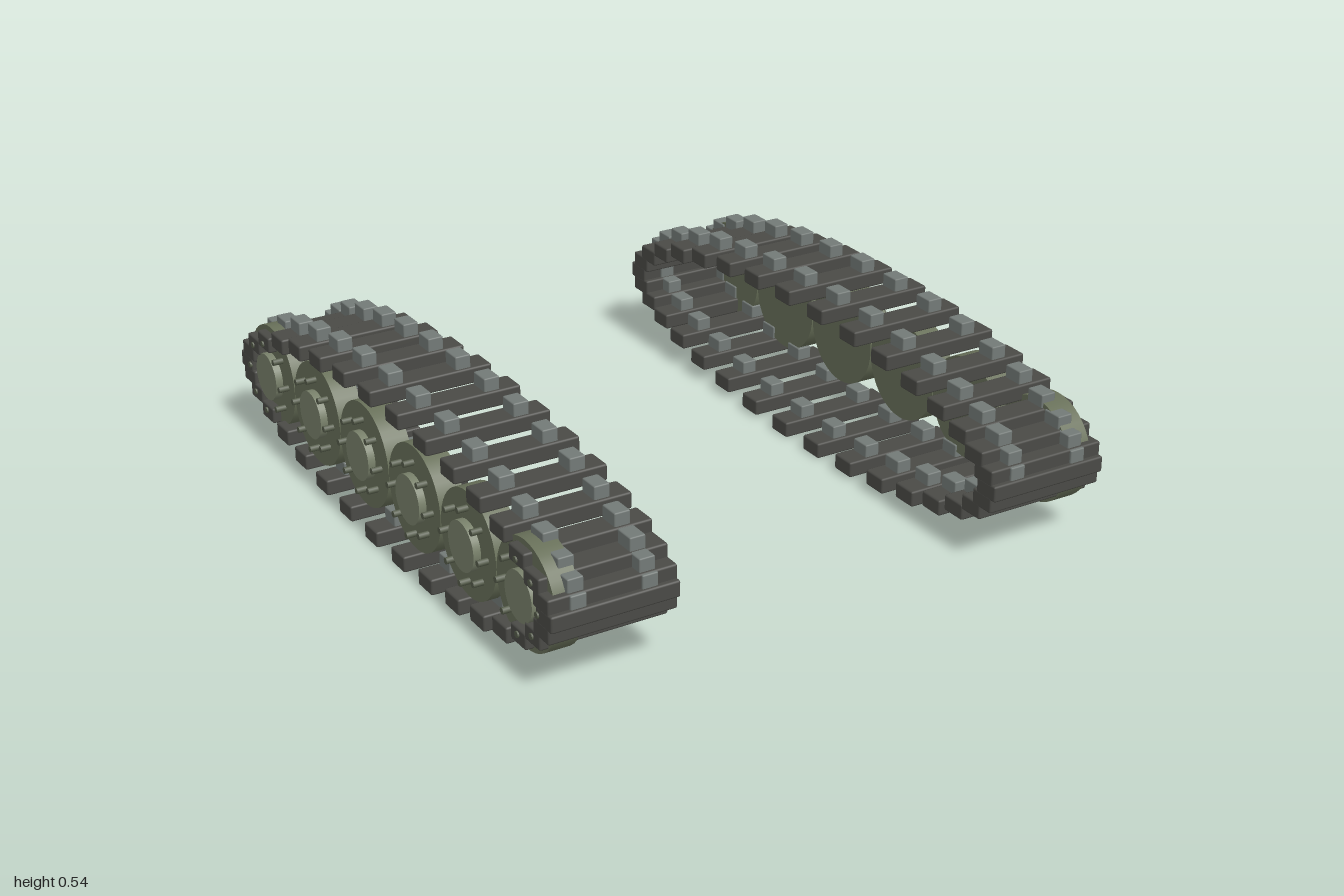
import * as THREE from 'three';
import { RoundedBoxGeometry } from 'three/addons/geometries/RoundedBoxGeometry.js';

const paint = (color) => new THREE.MeshStandardMaterial({ color });
const padMat = paint(0x4a4a46), toothMat = paint(0x737a77);
const wheelMat = paint(0x687059), hubMat = paint(0x78806a), boltMat = paint(0x555c4a);

const LINKS = 34, WHEELS = 6, BOLTS = 8;
const AXLE_Y = 0.25, WHEEL_R = 0.162, PITCH = 0.326;

// Disc lying along x between x0 and x1
function disc(name, r, x0, x1, mat, sides) {
  const geo = new THREE.CylinderGeometry(r, r, x1 - x0, sides).rotateZ(Math.PI / 2);
  const mesh = new THREE.Mesh(geo, mat);
  mesh.name = name;
  mesh.position.x = (x0 + x1) / 2;
  return mesh;
}

// Road wheel with raised hub and a ring of bolts; side is +1 or -1
function makeWheel(side) {
  const wheel = new THREE.Group();
  wheel.name = 'roadWheel';
  const add = (name, r, a, b, mat, sides) => {
    const m = disc(name, r, a, b, mat, sides);
    m.position.x *= side;
    wheel.add(m);
    return m;
  };
  add('wheelDisc', WHEEL_R, 0.805, 0.885, wheelMat, 40);
  add('wheelHub', 0.075, 0.87, 0.908, hubMat, 32);
  for (let i = 0; i < BOLTS; i++) {
    const a = (i / BOLTS) * Math.PI * 2;
    const bolt = add('wheelBolt', 0.01, 0.88, 0.917, boltMat, 8);
    bolt.position.y = Math.sin(a) * 0.112;
    bolt.position.z = Math.cos(a) * 0.112;
  }
  return wheel;
}

// Track link: a wide pad carrying two upright teeth
function makeLink(side) {
  const link = new THREE.Group();
  link.name = 'trackLink';
  const pad = new THREE.Mesh(new RoundedBoxGeometry(0.392, 0.05, 0.084, 1, 0.006), padMat);
  pad.name = 'trackPad';
  pad.position.x = side * 0.716;
  link.add(pad);
  for (const x of [0.608, 0.824]) {
    const tooth = new THREE.Mesh(new RoundedBoxGeometry(0.049, 0.05, 0.066, 1, 0.004), toothMat);
    tooth.name = 'trackTooth';
    tooth.position.set(side * x, 0.04, 0);
    link.add(tooth);
  }
  return link;
}

export function createModel() {
  const model = new THREE.Group();
  model.name = 'trackPair';
  for (const side of [1, -1]) {
    const track = new THREE.Group();
    track.name = side > 0 ? 'leftTrack' : 'rightTrack';

    // Links stay level while following an ellipse
    for (let i = 0; i < LINKS; i++) {
      const t = (i / LINKS) * Math.PI * 2;
      const link = makeLink(side);
      link.position.set(0, AXLE_Y + Math.sin(t) * 0.226, Math.cos(t) * 0.958);
      track.add(link);
    }

    // Row of touching wheels
    for (let i = 0; i < WHEELS; i++) {
      const wheel = makeWheel(side);
      wheel.position.set(0, AXLE_Y, (i - (WHEELS - 1) / 2) * PITCH);
      track.add(wheel);
    }
    model.add(track);
  }
  return model;
}
